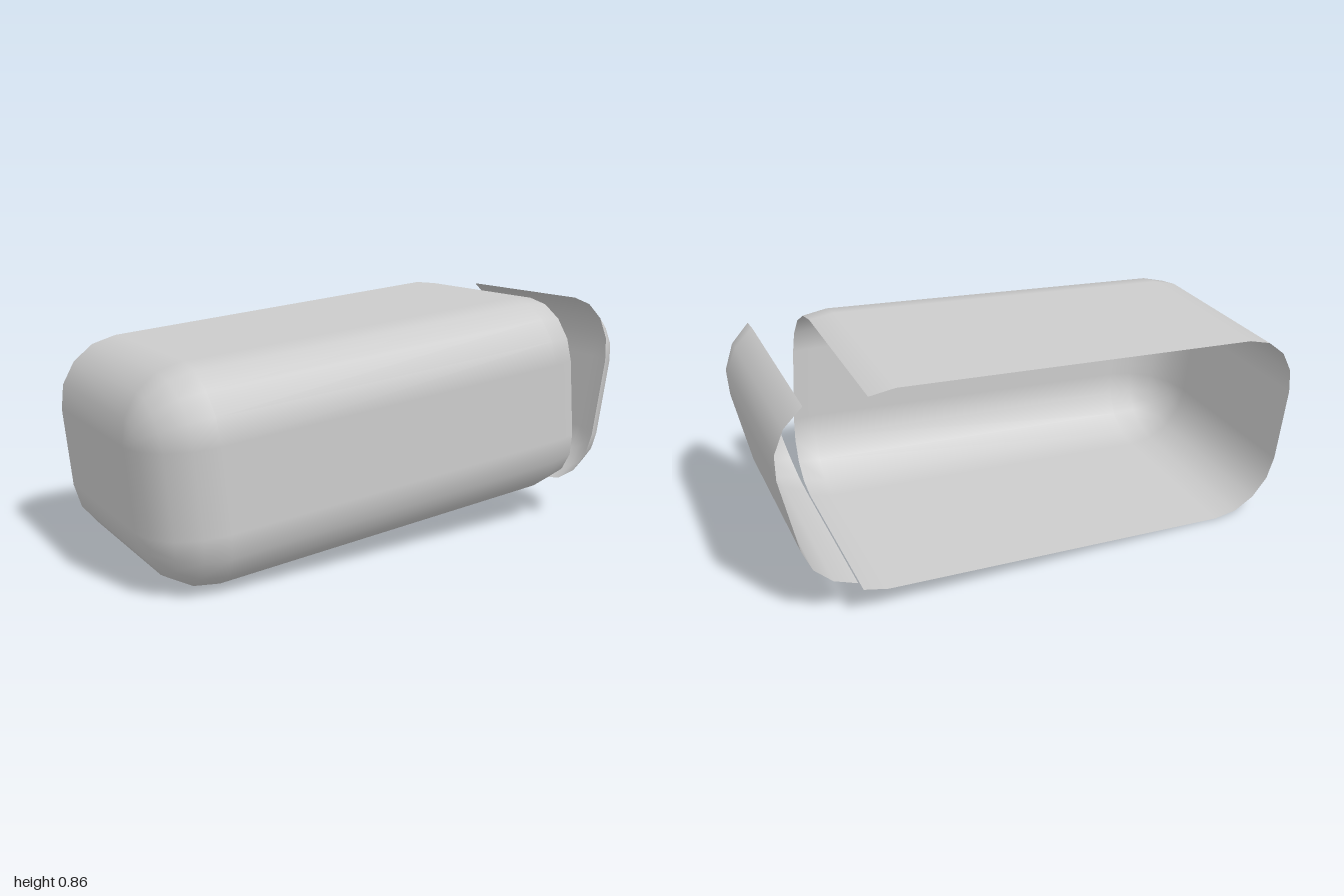
import * as THREE from 'three';

const W = 0.845, H = 0.743, R = 0.23; // half-shell width, height, edge radius
const L = 1.33;                       // length between the rounded ends
const STEP = 22.5;                    // degrees per rounding segment
const rad = THREE.MathUtils.degToRad;

// Skin a half rounded box from rings [bend angle in degrees, z of bend centre, closes to the middle].
function shell(rings) {
  const pos = [], nor = [], idx = [];
  for (const [deg, z0, flat] of rings) {
    const c = Math.cos(rad(deg)), s = Math.sin(rad(deg));
    const put = (x, cy, a) => {
      const nx = c * Math.cos(a), ny = c * Math.sin(a);
      pos.push(x === 0 ? 0 : x + R * nx, flat ? H / 2 : cy + R * ny, z0 + R * s);
      nor.push(nx, ny, s);
    };
    put(0, R, -Math.PI / 2);
    for (let k = -4; k <= 0; k++) put(W - R, R, rad(k * STEP));
    for (let k = 0; k <= 4; k++) put(W - R, H - R, rad(k * STEP));
    put(0, H - R, Math.PI / 2);
  }
  const n = 12;
  for (let i = 0; i < rings.length - 1; i++) {
    for (let j = 0; j < n - 1; j++) {
      const a = i * n + j, b = a + n;
      idx.push(a, a + 1, b, a + 1, b + 1, b);
    }
  }
  const g = new THREE.BufferGeometry();
  g.setAttribute('position', new THREE.Float32BufferAttribute(pos, 3));
  g.setAttribute('normal', new THREE.Float32BufferAttribute(nor, 3));
  g.setIndex(idx);
  return g;
}

export function createModel() {
  const material = new THREE.MeshStandardMaterial({ color: 0xcccccc, side: THREE.DoubleSide });
  const model = new THREE.Group();

  // Long body: open along its cut side and at the rear rim
  const bodyRings = [[-STEP, -L]];
  for (let k = 0; k <= 4; k++) bodyRings.push([k * STEP, 0]);
  bodyRings.splice(1, 0, [0, -L]);
  bodyRings.push([90, 0, true]);
  const body = new THREE.Mesh(shell(bodyRings), material);
  body.name = 'containerBody';

  // Rear lid, swung back about the lower rim
  const lidRings = [[-90, -L, true]];
  for (let k = 4; k >= 1; k--) lidRings.push([-k * STEP, -L]);
  const hingeY = R * (1 - Math.cos(rad(STEP)));
  const hingeZ = -L - R * Math.sin(rad(STEP));
  const lid = new THREE.Mesh(shell(lidRings).translate(0, -hingeY, -hingeZ), material);
  lid.name = 'hingedLid';
  lid.position.set(0.04, hingeY, hingeZ - 0.005);
  lid.rotation.x = rad(-15);

  // Whole container turned and pitched nose down
  const container = new THREE.Group();
  container.name = 'container';
  container.rotation.set(rad(5), rad(-12), 0, 'YXZ');
  container.position.set(-0.548, 0, 0.598);
  container.add(body, lid);
  model.add(container);
  return model;
}
